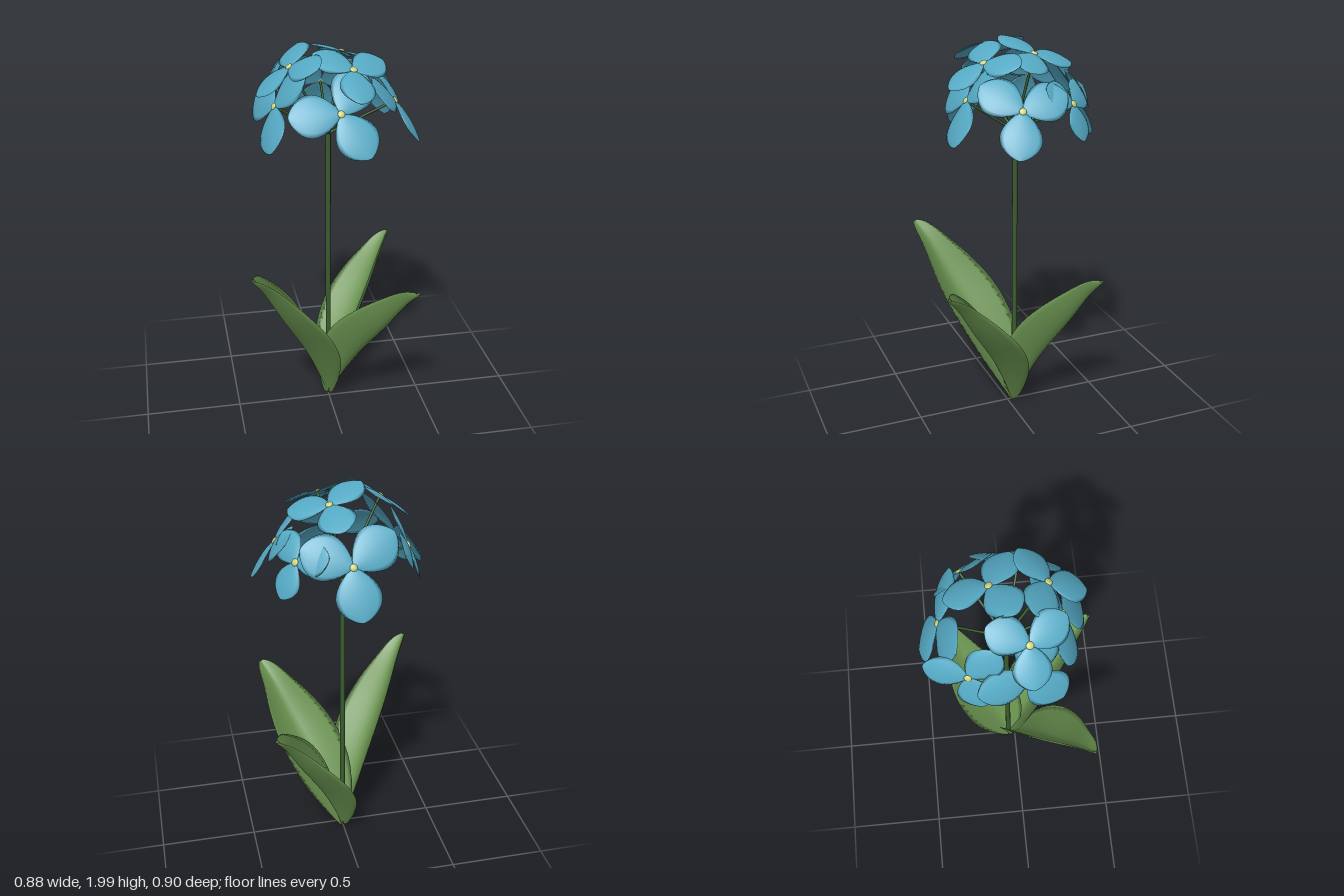
import * as THREE from 'three';

const material = (color) => new THREE.MeshStandardMaterial({ color, side: THREE.DoubleSide });
const V = (x, y, z) => new THREE.Vector3(x, y, z);

// Thin closed blade: loops run over the upper face (side 1) and back under it (side -1)
function blade(rows, cols, point) {
  const positions = [], index = [], n = cols * 2;
  for (let i = 0; i <= rows; i++) {
    const t = Math.sin((i / rows) * Math.PI / 2);
    for (let j = 0; j < n; j++) {
      const u = j <= cols ? -1 + 2 * j / cols : 3 - 2 * j / cols;
      positions.push(...point(t, u, j <= cols ? 1 : -1));
    }
  }
  for (let i = 0; i < rows; i++) {
    for (let j = 0; j < n; j++) {
      const k = (j + 1) % n, a = i * n + j, b = i * n + k;
      index.push(a, b, a + n, b, b + n, a + n);
    }
  }
  const g = new THREE.BufferGeometry();
  g.setAttribute('position', new THREE.Float32BufferAttribute(positions, 3));
  g.setIndex(index);
  g.computeVertexNormals();
  return g;
}

// Petal: runs along +x, faces +y, broad and round with a drooping tip
function petalGeometry() {
  return blade(18, 10, (t, u, side) => {
    const w = 0.096 * Math.pow(Math.max(0, Math.sin(Math.PI * Math.pow(t, 1.2))), 0.62) + 0.004 * (1 - t);
    const y = 0.03 * t - 0.045 * t * t - 0.012 * u * u * Math.sin(Math.PI * t);
    return [0.23 * t, y + side * 0.003 * (1 - u * u), w * u];
  });
}

// Leaf: keel follows a curve in the x-y plane, the margins fold upwards and the blade rolls to one side
function leafGeometry(reach, height) {
  const keel = new THREE.CatmullRomCurve3(
    [[0, 0.005], [0.05, 0.11], [0.18, 0.33], [0.38, 0.6], [0.52, 0.795], [0.595, 0.875]]
      .map(([r, y]) => V(r * reach, y * height, 0)));
  const width = new THREE.SplineCurve(
    [[0, 0.022], [0.13, 0.085], [0.32, 0.148], [0.52, 0.163], [0.7, 0.135], [0.86, 0.082], [0.96, 0.045], [1, 0.014]]
      .map(([t, w]) => new THREE.Vector2(t, w)));
  const widthAt = (t) => {
    let lo = 0, hi = 1;
    for (let k = 0; k < 18; k++) {
      const mid = (lo + hi) / 2;
      if (width.getPoint(mid).x < t) lo = mid; else hi = mid;
    }
    return width.getPoint(lo).y;
  };
  const c = Math.cos(0.36), s = Math.sin(0.36);
  return blade(28, 14, (t, u, side) => {
    const p = keel.getPointAt(t), d = keel.getTangentAt(t), w = widthAt(t);
    const fold = 0.7 * w * Math.pow(Math.abs(u), 1.5) + side * 0.007 * (1 - u * u);
    const lift = fold * c + w * u * s;
    return [p.x - d.y * lift, p.y + d.x * lift, w * u * c - fold * s];
  });
}

export function createModel() {
  const model = new THREE.Group();
  const petalMat = material(0x55a9c4), leafMat = material(0x6a9350);
  const stemMat = material(0x3b5c2e), centreMat = material(0xccd27a);
  const add = (parent, name, geometry, mat) => {
    const mesh = new THREE.Mesh(geometry, mat);
    mesh.name = name;
    parent.add(mesh);
    return mesh;
  };

  // Main stem
  const hub = V(0, 1.53, -0.04);
  const rod = (name, from, to, r0, r1) => {
    const axis = to.clone().sub(from);
    const mesh = add(model, name, new THREE.CylinderGeometry(r1, r0, axis.length(), 12), stemMat);
    mesh.position.copy(from).addScaledVector(axis, 0.5);
    mesh.quaternion.setFromUnitVectors(V(0, 1, 0), axis.normalize());
  };
  rod('stem', V(0.003, 0.02, -0.038), V(0.003, 1.53, -0.04), 0.014, 0.013);

  // Leaves: direction x, direction z, reach, height
  [[-0.44, 0.4, 1, 1.09], [0.36, 0.47, 1, 0.96], [0.39, -0.31, 0.86, 0.94]].forEach(([x, z, reach, height]) => {
    const leaf = add(model, 'leaf', leafGeometry(reach, height), leafMat);
    leaf.position.set(0, 0, -0.03);
    leaf.rotation.y = Math.atan2(-z, x);
  });

  // Florets: centre, facing, direction of the first petal, size
  const petalGeo = petalGeometry();
  const florets = [
    [V(0.02, 1.71, -0.345), V(0.02, 0.16, -0.305), V(-0.02, -0.19, -0.1), 1.11],
    [V(0.08, 1.925, -0.105), V(0.12, 0.37, -0.09), V(0, 0, -1), 0.93],
    [V(-0.265, 1.75, -0.23), V(-0.9, 0.4, -0.18), V(0.05, 0.03, -0.18), 0.89],
    [V(-0.2, 1.9, 0.045), V(-0.24, 0.34, 0.06), V(0.06, 0.065, -0.165), 0.9],
    [V(0.085, 1.9, 0.155), V(0.085, 0.37, 0.2), V(0.005, -0.09, 0.165), 0.9],
    [V(0.315, 1.71, 0.05), V(0.315, 0.24, 0.08), V(0.015, 0.07, -0.18), 1.03],
    [V(0.265, 1.71, -0.23), V(0.265, 0.18, -0.19), V(0.08, -0.17, -0.025), 0.8],
    [V(0.015, 1.71, 0.22), V(0.01, 0.18, 0.26), V(-1, 0, 0), 1.09],
    [V(-0.275, 1.71, 0.04), V(-0.275, 0.16, 0.08), V(-0.09, 0, -0.2), 1.06],
  ];
  for (const [centre, facing, hint, size] of florets) {
    rod('flowerStalk', hub, centre, 0.007, 0.006);
    const normal = facing.clone().normalize();
    const along = hint.clone().projectOnPlane(normal).normalize();
    const floret = new THREE.Group();
    floret.name = 'floret';
    floret.position.copy(centre);
    floret.quaternion.setFromRotationMatrix(
      new THREE.Matrix4().makeBasis(along, normal, along.clone().cross(normal)));
    for (let i = 0; i < 3; i++) {
      const petal = add(floret, 'petal', petalGeo, petalMat);
      petal.rotation.y = i * Math.PI * 2 / 3;
      petal.scale.setScalar(size);
    }
    const eye = add(floret, 'flowerCentre', new THREE.SphereGeometry(0.018, 16, 10), centreMat);
    eye.scale.y = 0.45;
    eye.position.y = 0.004;
    model.add(floret);
  }
  return model;
}
